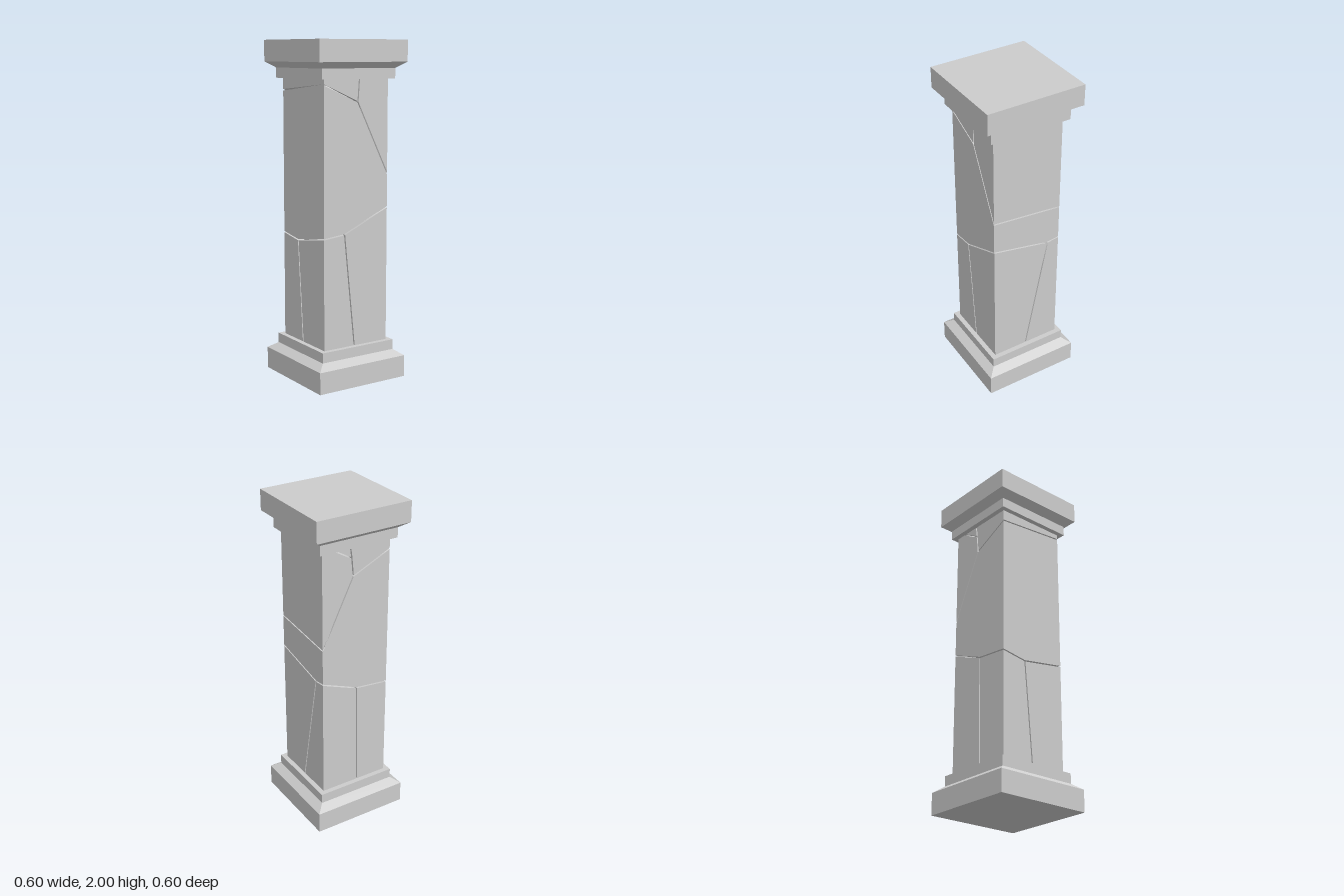
import * as THREE from 'three';

const W = 0.22, CORE = 0.18, BOTTOM = 0.22, TOP = 1.78, GAP = 0.004;
const material = new THREE.MeshStandardMaterial({ color: 0xcccccc, flatShading: true });

// Square moulding: a four-sided lathe of [half width, height] points
function squareMoulding(name, profile) {
  const points = profile.map(([r, y]) => new THREE.Vector2(r * Math.SQRT2, y));
  const geometry = new THREE.LatheGeometry(points, 4, Math.PI / 4).toNonIndexed();
  geometry.computeVertexNormals();
  const mesh = new THREE.Mesh(geometry, material);
  mesh.name = name;
  return mesh;
}

// Pull the cracked edges of a counter-clockwise outline inward; border edges stay
function insetOutline(outline) {
  const n = outline.length;
  const lines = outline.map((p, i) => {
    const q = outline[(i + 1) % n];
    const dx = q[0] - p[0], dy = q[1] - p[1], len = Math.hypot(dx, dy);
    const border = (p[0] === q[0] && Math.abs(p[0]) === W) ||
      (p[1] === q[1] && (p[1] === TOP || p[1] === BOTTOM));
    const nx = -dy / len, ny = dx / len;
    return { nx, ny, c: nx * p[0] + ny * p[1] + (border ? 0 : GAP) };
  });
  return lines.map((b, i) => {
    const a = lines[(i + n - 1) % n];
    const det = a.nx * b.ny - a.ny * b.nx;
    if (Math.abs(det) < 1e-4) {
      return new THREE.Vector2(outline[i][0] + b.nx * GAP, outline[i][1] + b.ny * GAP);
    }
    return new THREE.Vector2((a.c * b.ny - b.c * a.ny) / det, (a.nx * b.c - b.nx * a.c) / det);
  });
}

// Stone slab: extruded outline, mitred toward the core so sides meet at the corners
function stoneSlab(outline) {
  const geometry = new THREE.ExtrudeGeometry(new THREE.Shape(insetOutline(outline)),
    { depth: W - CORE, bevelEnabled: false });
  geometry.translate(0, 0, CORE);
  const pos = geometry.attributes.position;
  for (let i = 0; i < pos.count; i++) pos.setX(i, pos.getX(i) * pos.getZ(i) / W);
  geometry.computeVertexNormals();
  const mesh = new THREE.Mesh(geometry, material);
  mesh.name = 'stoneSlab';
  return mesh;
}

// Crack layout of each side: low and high cracks run left to right,
// foot is where the lower branch reaches the base, tops are the pieces above
const sides = [
  {
    name: 'frontSide', angle: 0, foot: -0.01,
    low: [[-W, 0.88], [-0.08, 0.895], [W, 1.03]],
    high: [[-W, 1.75], [0.01, 1.65], [W, 1.23]],
    tops: [
      [[-W, 1.75], [0.01, 1.65], [0.02, TOP], [-W, TOP]],
      [[0.01, 1.65], [W, 1.23], [W, TOP], [0.02, TOP]],
    ],
  },
  {
    name: 'leftSide', angle: Math.PI / 2, foot: 0,
    low: [[-W, 1.03], [0.145, 0.96], [W, 0.97]],
    high: [[-W, 1.23], [W, 1.19]],
    tops: [[[-W, 1.23], [W, 1.19], [W, TOP], [-W, TOP]]],
  },
  {
    name: 'backSide', angle: Math.PI, foot: 0.02,
    low: [[-W, 0.97], [0.01, 0.88], [W, 0.86]],
    high: [[-W, 1.19], [-0.02, 1.6], [W, 1.71]],
    tops: [
      [[-W, 1.19], [-0.02, 1.6], [-0.03, 1.71], [-0.15, TOP], [-W, TOP]],
      [[-0.03, 1.71], [-0.04, TOP], [-0.15, TOP]],
      [[-0.02, 1.6], [W, 1.71], [W, TOP], [-0.04, TOP], [-0.03, 1.71]],
    ],
  },
  {
    name: 'rightSide', angle: -Math.PI / 2, foot: -0.01,
    low: [[-W, 0.86], [-0.06, 0.835], [W, 0.88]],
    high: [[-W, 1.71], [W, 1.75]],
    tops: [[[-W, 1.71], [W, 1.75], [W, TOP], [-W, TOP]]],
  },
];

export function createModel() {
  const pillar = new THREE.Group();
  pillar.name = 'crackedPillar';

  // Stepped base and capital
  pillar.add(squareMoulding('base', [
    [0, 0], [0.3, 0], [0.3, 0.13], [0.25, 0.165], [0.25, 0.225], [0, 0.225]]));
  pillar.add(squareMoulding('capital', [
    [0, 1.78], [0.25, 1.78], [0.25, 1.84], [0.3, 1.875], [0.3, 2], [0, 2]]));

  // Inner core seen at the bottom of the cracks
  const core = new THREE.Mesh(new THREE.BoxGeometry(CORE * 2, TOP - BOTTOM, CORE * 2), material);
  core.name = 'shaftCore';
  core.position.y = (TOP + BOTTOM) / 2;
  pillar.add(core);

  // Four cracked sides of the shaft
  for (const { name, angle, foot, low, high, tops } of sides) {
    const side = new THREE.Group();
    side.name = name;
    side.rotation.y = angle;
    const [left, fork, right] = low;
    const outlines = [
      [[-W, BOTTOM], [foot, BOTTOM], fork, left],
      [[foot, BOTTOM], [W, BOTTOM], right, fork],
      [...low, ...[...high].reverse()],
      ...tops,
    ];
    outlines.forEach((outline) => side.add(stoneSlab(outline)));
    pillar.add(side);
  }
  return pillar;
}
